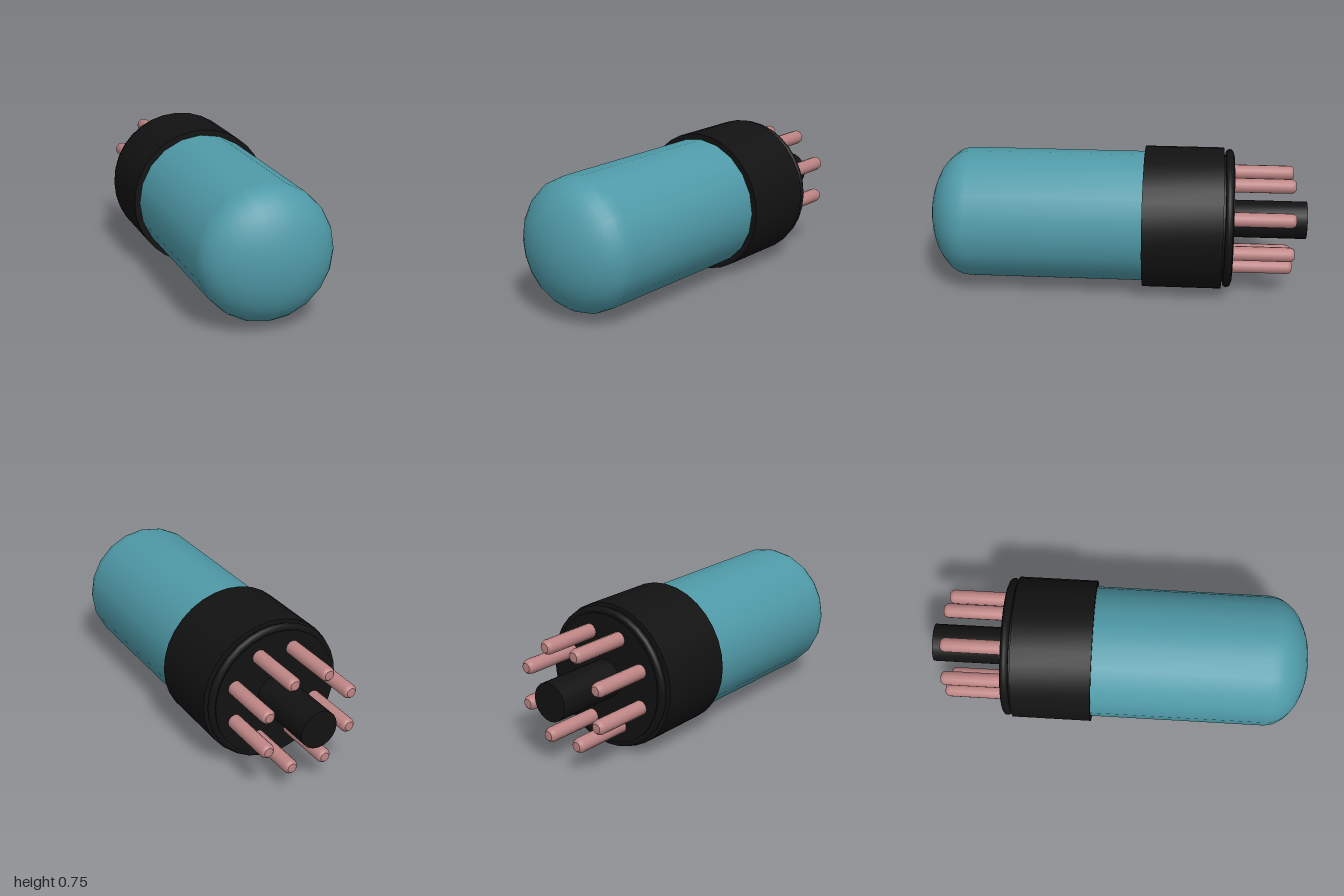
import * as THREE from 'three';
import { toCreasedNormals } from 'three/addons/utils/BufferGeometryUtils.js';

const AXIS_Y = 0.378;
const glassMat = new THREE.MeshStandardMaterial({ color: 0x4f9aa8 });
const linerMat = new THREE.MeshStandardMaterial({ color: 0xcccccc });
const blackMat = new THREE.MeshStandardMaterial({ color: 0x121212 });
const pinMat = new THREE.MeshStandardMaterial({ color: 0xbd8484 });

// Turned part along z: profile of [radius, z], running from back to front
function turned(name, profile, sides, material) {
  const points = profile.map(([r, z]) => new THREE.Vector2(r, z));
  const geometry = new THREE.LatheGeometry(points, sides).rotateX(Math.PI / 2);
  const mesh = new THREE.Mesh(toCreasedNormals(geometry, 0.6), material);
  mesh.name = name;
  return mesh;
}

// Straight tube closed by an elliptical dome
function bulbProfile(inset) {
  const profile = [[0, -0.3], [0.348 - inset, -0.3]];
  for (let i = 0; i <= 10; i++) {
    const a = (i / 10) * Math.PI / 2;
    profile.push([(0.348 - inset) * Math.cos(a), 0.78 + (0.22 - inset) * Math.sin(a)]);
  }
  profile[profile.length - 1][0] = 0;
  return profile;
}

export function createModel() {
  const model = new THREE.Group();
  model.name = 'vacuumTube';
  const tube = new THREE.Group();
  tube.name = 'tubeAssembly';
  tube.position.y = AXIS_Y;
  model.add(tube);

  // Glass envelope and its inner lining
  tube.add(turned('glassBulb', bulbProfile(0), 20, glassMat));
  tube.add(turned('innerLining', bulbProfile(0.008), 20, linerMat));

  // Base collar with a stepped back plate
  tube.add(turned('baseCollar', [
    [0, -0.61], [0.34, -0.61], [0.34, -0.555], [0.377, -0.555], [0.377, -0.14], [0, -0.14],
  ], 32, blackMat));

  // Bead around the back plate
  const bead = new THREE.Mesh(new THREE.TorusGeometry(0.348, 0.021, 10, 32), blackMat);
  bead.name = 'baseBead';
  bead.position.z = -0.585;
  tube.add(bead);

  // Central locating post
  tube.add(turned('centerPost', [[0, -1], [0.1, -1], [0.1, -0.6], [0, -0.6]], 20, blackMat));

  // Ring of eight contact pins with softened tips
  for (let i = 0; i < 8; i++) {
    const a = (i + 0.5) * Math.PI / 4;
    const pin = turned('contactPin' + (i + 1), [
      [0, -0.93], [0.024, -0.928], [0.034, -0.918], [0.038, -0.905], [0.038, -0.6], [0, -0.6],
    ], 12, pinMat);
    pin.position.set(0.25 * Math.cos(a), 0.25 * Math.sin(a), 0);
    tube.add(pin);
  }
  return model;
}
